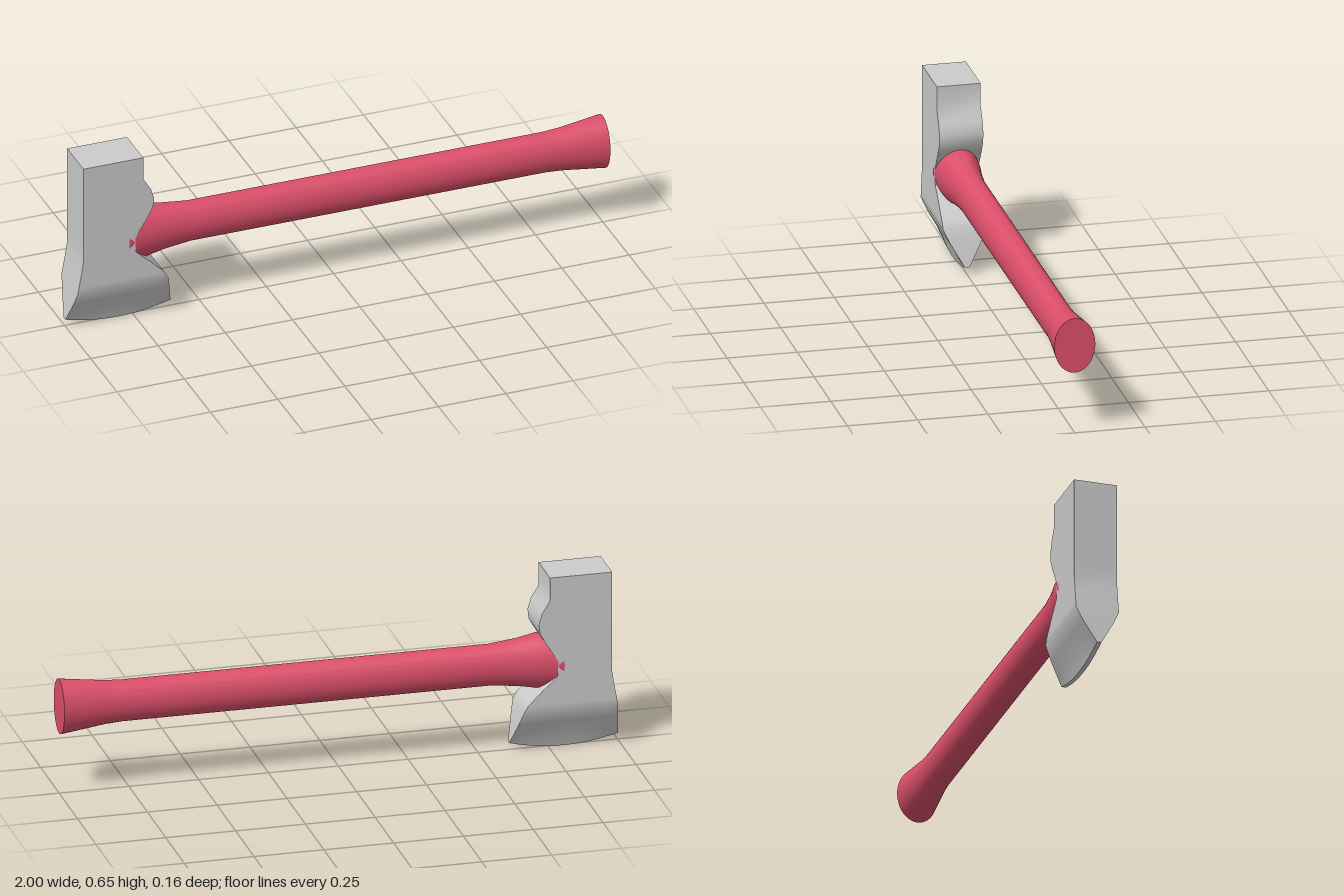
import * as THREE from 'three';
import { toCreasedNormals } from 'three/addons/utils/BufferGeometryUtils.js';

// Skin a stack of equal-length rings; each ring is half front, half back.
function loft(rings) {
  const n = rings[0].length, pos = rings.flat(2), idx = [];
  const quad = (a, b, c, d) => idx.push(a, b, c, a, c, d);
  for (let r = 0; r < rings.length - 1; r++) {
    for (let i = 0; i < n; i++) {
      const j = (i + 1) % n, o = r * n;
      quad(o + i, o + j, o + n + j, o + n + i);
    }
  }
  // end caps as strips between the two halves
  const top = (rings.length - 1) * n;
  for (let i = 0; i < n / 2 - 1; i++) {
    quad(top + i, top + i + 1, top + n - 2 - i, top + n - 1 - i);
    quad(n - 1 - i, n - 2 - i, i + 1, i);
  }
  const g = new THREE.BufferGeometry();
  g.setAttribute('position', new THREE.Float32BufferAttribute(pos, 3));
  g.setIndex(idx);
  return toCreasedNormals(g, 0.6);
}

// Head rows, cutting edge to poll: [y, left x, right x, half thickness, edge sag]
const headRows = [
  [0.027, -1.0, -0.61, 0.008, 0.027],
  [0.062, -0.995, -0.619, 0.028, 0],
  [0.11, -0.988, -0.632, 0.055, 0],
  [0.16, -0.981, -0.645, 0.078, 0],
  [0.185, -0.977, -0.66, 0.078, 0],
  [0.235, -0.968, -0.71, 0.078, 0],
  [0.285, -0.96, -0.765, 0.078, 0],
  [0.34, -0.96, -0.768, 0.078, 0],
  [0.42, -0.96, -0.718, 0.078, 0],
  [0.45, -0.96, -0.702, 0.078, 0],
  [0.485, -0.96, -0.698, 0.078, 0],
  [0.525, -0.96, -0.71, 0.078, 0],
  [0.57, -0.96, -0.738, 0.078, 0],
  [0.655, -0.96, -0.738, 0.078, 0],
];

function headGeometry() {
  const cols = 16;
  return loft(headRows.map(([y, l, r, t, sag]) => {
    const side = (z) => Array.from({ length: cols + 1 }, (_, i) => {
      const u = i / cols;
      return [l + (r - l) * u, y - sag * 4 * u * (1 - u), z];
    });
    return [...side(t), ...side(-t).reverse()];
  }));
}

// Handle stations along x: [x, half height, half depth]
const handleStations = [
  [-0.79, 0.104, 0.0795], [-0.71, 0.1, 0.074], [-0.64, 0.086, 0.063],
  [-0.54, 0.075, 0.054], [0.78, 0.075, 0.054], [0.84, 0.079, 0.057], [1.0, 0.1, 0.073],
];

function handleGeometry() {
  const seg = 48;
  return loft(handleStations.map(([x, h, d]) =>
    Array.from({ length: seg }, (_, i) => {
      const a = (i / seg) * Math.PI * 2;
      return [x, 0.323 + h * Math.cos(a), d * Math.sin(a)];
    })));
}

export function createModel() {
  const model = new THREE.Group();
  model.name = 'hatchet';
  const add = (name, geometry, color) => {
    const mesh = new THREE.Mesh(geometry, new THREE.MeshStandardMaterial({ color }));
    mesh.name = name;
    model.add(mesh);
  };
  add('head', headGeometry(), 0xcccccc);
  add('handle', handleGeometry(), 0xdc4f6a);
  return model;
}
